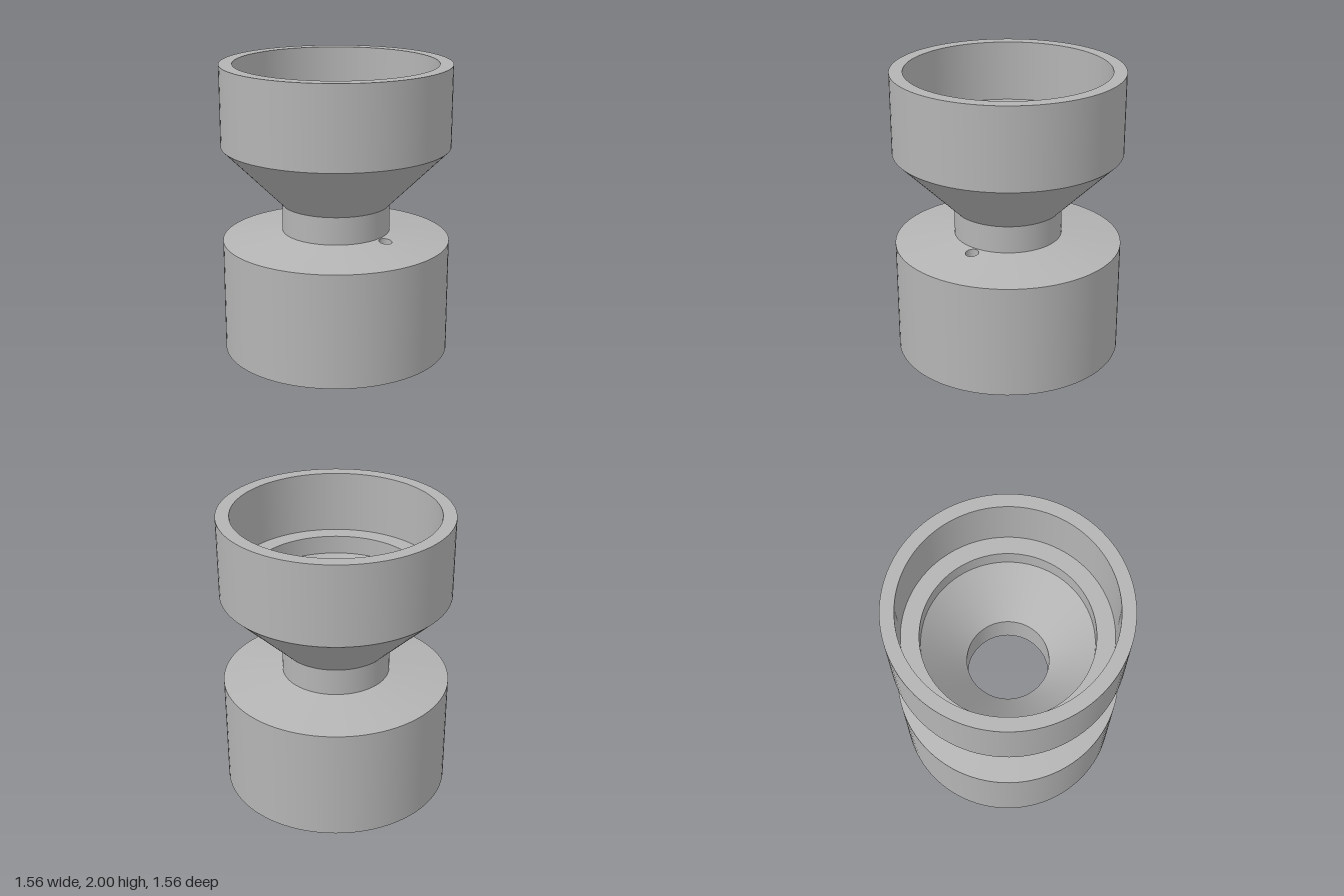
import * as THREE from 'three';

const SEGMENTS = 96;
const GAP = 8; // lathe segments left open around the drilled hole
const STEP = (Math.PI * 2) / SEGMENTS;
const HALF_GAP = (GAP / 2) * STEP;
const HOLE = { x: 0.425, radius: 0.045 };

// Cones pierced by the small hole, as [radius, height] pairs
const SHOULDER = [[0.78, 0.785], [0.37, 0.845]];
const CEILING = [[0.28, 0.845], [0.69, 0.43]];

const heightOn = ([[r0, y0], [r1, y1]], r) => y0 + ((y1 - y0) * (r - r0)) / (r1 - r0);

// One band of revolution, optionally left open around the hole
function band(a, b, open = false) {
  const points = [new THREE.Vector2(...a), new THREE.Vector2(...b)];
  return open
    ? new THREE.LatheGeometry(points, SEGMENTS - GAP, Math.PI / 2 + HALF_GAP, Math.PI * 2 - 2 * HALF_GAP)
    : new THREE.LatheGeometry(points, SEGMENTS);
}

// Sector that fills the open part of a cone, with the hole cut in it
function drilledSector(cone, up) {
  const [rMin, rMax] = [cone[0][0], cone[1][0]].sort((a, b) => a - b);
  const outline = [];
  for (let i = 0; i <= GAP; i++) outline.push(new THREE.Vector2(-HALF_GAP + i * STEP, rMin));
  for (let i = GAP; i >= 0; i--) outline.push(new THREE.Vector2(-HALF_GAP + i * STEP, rMax));
  const hole = [];
  for (let i = 0; i < 32; i++) {
    const t = (i / 32) * Math.PI * 2;
    const x = HOLE.x + HOLE.radius * Math.cos(t);
    const z = HOLE.radius * Math.sin(t);
    hole.push(new THREE.Vector2(Math.atan2(z, x), Math.hypot(x, z)));
  }
  const shape = new THREE.Shape(outline);
  shape.holes.push(new THREE.Path(hole));
  const geometry = new THREE.ShapeGeometry(shape);

  // Wrap the flat angle/radius sheet onto the cone
  const { position, normal } = geometry.attributes;
  const slope = (cone[1][1] - cone[0][1]) / (cone[1][0] - cone[0][0]);
  const n = new THREE.Vector3();
  for (let i = 0; i < position.count; i++) {
    const phi = Math.PI / 2 - up * position.getX(i);
    const r = position.getY(i);
    position.setXYZ(i, r * Math.sin(phi), heightOn(cone, r), r * Math.cos(phi));
    n.set(-slope * Math.sin(phi), 1, -slope * Math.cos(phi)).normalize().multiplyScalar(up);
    normal.setXYZ(i, n.x, n.y, n.z);
  }
  return geometry;
}

// Wall of the hole, running between the shoulder and the ceiling
function holeWall() {
  const r = HOLE.radius;
  const geometry = new THREE.LatheGeometry([new THREE.Vector2(r, 1), new THREE.Vector2(r, 0)], 32);
  geometry.translate(HOLE.x, 0, 0);
  const p = geometry.attributes.position;
  for (let i = 0; i < p.count; i++) {
    const radius = Math.hypot(p.getX(i), p.getZ(i));
    p.setY(i, heightOn(p.getY(i) > 0.5 ? SHOULDER : CEILING, radius));
  }
  return geometry;
}

export function createModel() {
  const model = new THREE.Group();
  model.name = 'doubleCupFunnel';
  const grey = new THREE.MeshStandardMaterial({ color: 0xb4b4b4 });
  grey.name = 'grey';

  const add = (name, geometry) => {
    const mesh = new THREE.Mesh(geometry, grey);
    mesh.name = name;
    model.add(mesh);
  };

  // Outside upwards, then inside downwards; separate bands keep edges sharp
  const bands = [
    ['baseWall', [0.78, 0], [0.78, 0.785]],
    ['baseShoulder', ...SHOULDER, true],
    ['neckOuter', [0.37, 0.845], [0.37, 1.035]],
    ['cupUnderside', [0.37, 1.035], [0.78, 1.445]],
    ['cupWall', [0.78, 1.445], [0.78, 2]],
    ['cupRim', [0.78, 2], [0.69, 2]],
    ['cupInnerWall', [0.69, 2], [0.69, 1.575]],
    ['cupLedge', [0.69, 1.575], [0.57, 1.575]],
    ['cupRecessWall', [0.57, 1.575], [0.57, 1.445]],
    ['funnelCone', [0.57, 1.445], [0.28, 1.1]],
    ['neckBore', [0.28, 1.1], [0.28, 0.845]],
    ['baseCeiling', ...CEILING, true],
    ['baseInnerWall', [0.69, 0.43], [0.69, 0]],
    ['baseRim', [0.69, 0], [0.78, 0]],
  ];
  for (const [name, a, b, open] of bands) add(name, band(a, b, open));

  // Small hole beside the neck
  add('shoulderHoleSector', drilledSector(SHOULDER, 1));
  add('ceilingHoleSector', drilledSector(CEILING, -1));
  add('holeWall', holeWall());

  return model;
}
